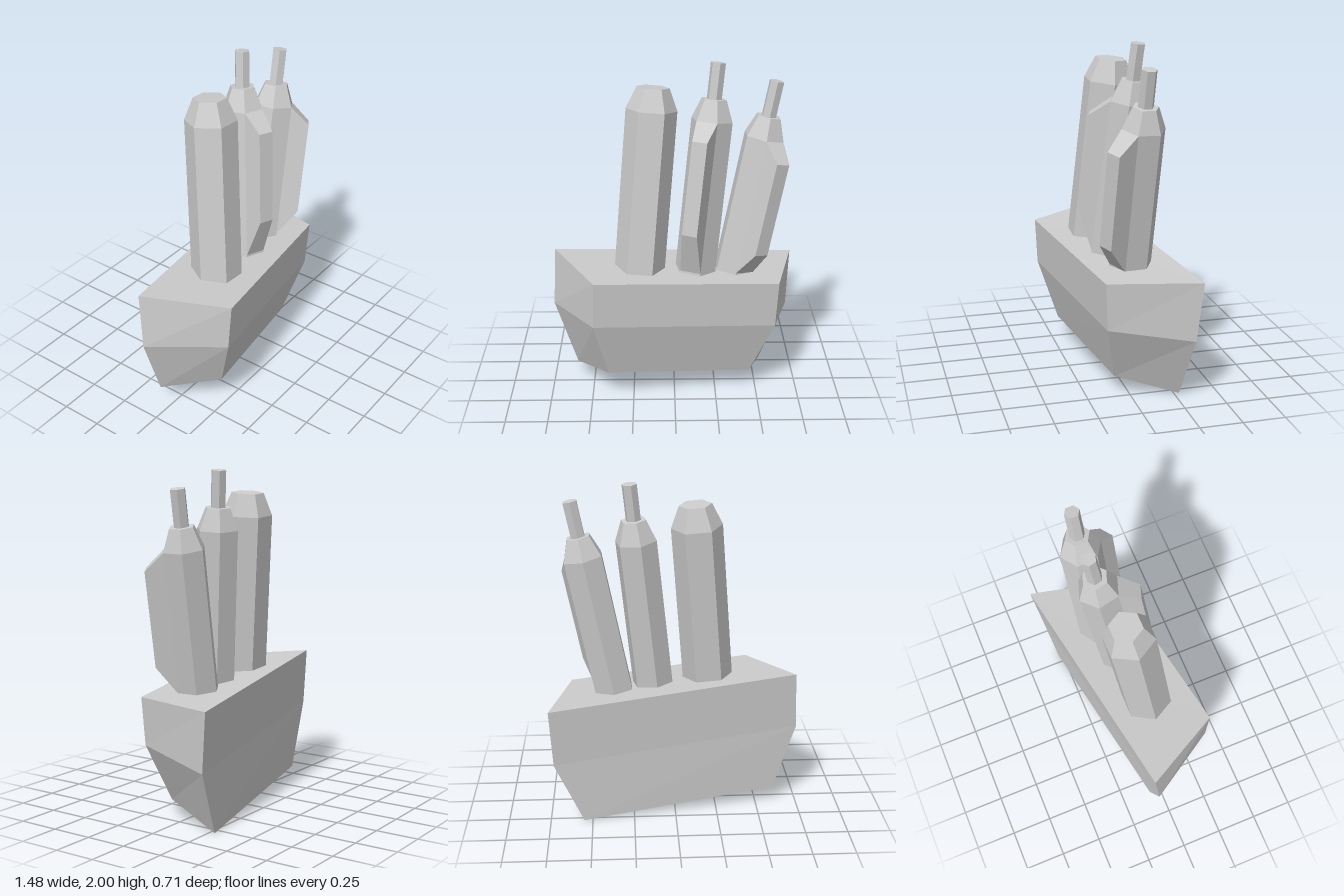
import * as THREE from 'three';
import { ConvexGeometry } from 'three/addons/geometries/ConvexGeometry.js';

const material = new THREE.MeshStandardMaterial({ color: 0xcccccc, flatShading: true });

function addMesh(parent, geometry, name) {
  const mesh = new THREE.Mesh(geometry, material);
  mesh.name = name;
  parent.add(mesh);
}

// Faceted pouch: four-cornered sections joined bottom to top, capped at both ends.
// Corner order: front right, front left, back left, back right (as seen from the front, x rising first).
function pouchGeometry() {
  const rings = [
    [[-0.40, 0.175, 0.23], [0.46, 0.11, 0.085], [0.55, 0.0, -0.28], [-0.605, 0.095, -0.08]],
    [[-0.48, 0.53, 0.34], [0.605, 0.45, 0.16], [0.72, 0.38, -0.32], [-0.74, 0.50, -0.08]],
    [[-0.47, 0.81, 0.355], [0.62, 0.73, 0.175], [0.74, 0.73, -0.355], [-0.725, 0.845, -0.11]],
  ];
  const positions = [];
  const quad = (a, b, c, d) => positions.push(...a, ...b, ...c, ...a, ...c, ...d);
  for (let level = 0; level < 2; level++) {
    const low = rings[level], high = rings[level + 1];
    for (let i = 0; i < 4; i++) {
      const j = (i + 1) % 4;
      quad(low[i], low[j], high[j], high[i]);
    }
  }
  quad(...rings[2]);
  quad(...[...rings[0]].reverse());
  const geometry = new THREE.BufferGeometry();
  geometry.setAttribute('position', new THREE.Float32BufferAttribute(positions, 3));
  geometry.computeVertexNormals();
  return geometry;
}

// Six-sided turned part with one flat face towards local +z.
function hexLathe(points) {
  return new THREE.LatheGeometry(points.map(([r, y]) => new THREE.Vector2(r, y)), 6, Math.PI / 6);
}

// Group standing at base, leaning towards tip, spun about its own axis.
function leaningGroup(name, base, tip, spin) {
  const group = new THREE.Group();
  const start = new THREE.Vector3(...base);
  const axis = new THREE.Vector3(...tip).sub(start);
  const length = axis.length();
  const up = new THREE.Vector3(0, 1, 0);
  group.name = name;
  group.position.copy(start);
  group.quaternion.setFromUnitVectors(up, axis.normalize())
    .multiply(new THREE.Quaternion().setFromAxisAngle(up, spin));
  return { group, length };
}

// Pen with a tapered shoulder, a thin tip rod and a raised clip on one face.
function createPen(name, base, tip, spin, clipStart) {
  const { group, length } = leaningGroup(name, base, tip, spin);
  const radius = 0.125, neck = length - 0.21, rim = neck - 0.125;
  addMesh(group, hexLathe([[0, 0], [radius, 0], [radius, rim], [0.075, neck], [0, neck]]), 'penBody');
  addMesh(group, hexLathe([[0, neck - 0.02], [0.045, neck - 0.02], [0.045, length], [0, length]]), 'penTip');

  const face = radius * Math.cos(Math.PI / 6);
  const corners = [];
  for (const side of [-1, 1]) {
    corners.push(
      new THREE.Vector3(side * radius / 2, 0.02, face),
      new THREE.Vector3(side * radius / 2, rim, face),
      new THREE.Vector3(side * 0.045, clipStart, face + 0.115),
      new THREE.Vector3(side * 0.045, rim - 0.1, face + 0.115),
    );
  }
  addMesh(group, new ConvexGeometry(corners), 'penClip');
  return group;
}

// Plain marker with a chamfered end.
function createMarker(base, tip) {
  const { group, length } = leaningGroup('marker', base, tip, 0);
  const rim = length - 0.13;
  addMesh(group, hexLathe([[0, 0], [0.15, 0], [0.15, rim], [0.095, length], [0, length]]), 'markerBody');
  return group;
}

export function createModel() {
  const model = new THREE.Group();
  model.name = 'pouchWithPens';
  addMesh(model, pouchGeometry(), 'pouch');
  model.add(
    createMarker([-0.21, 0.75, 0.055], [-0.12, 1.865, -0.05]),
    createPen('middlePen', [0.125, 0.75, 0.02], [0.255, 1.995, -0.105], -0.32, 0.27),
    createPen('leftPen', [0.36, 0.74, -0.035], [0.592, 1.895, -0.07], 0.55, 0.18),
  );
  return model;
}
